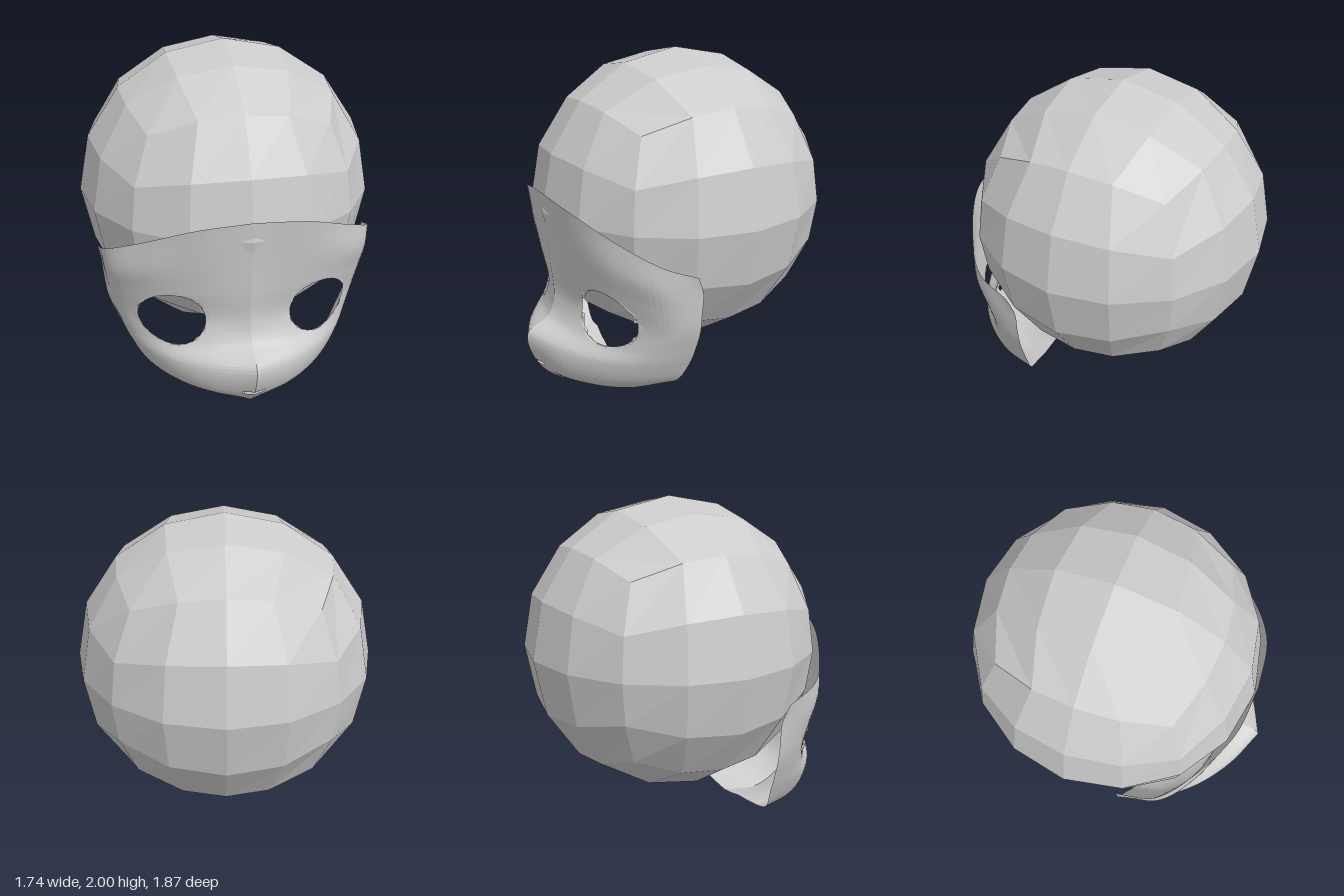
import * as THREE from 'three';

const bone = new THREE.MeshStandardMaterial({ color: 0xcccccc, flatShading: true, side: THREE.DoubleSide });
bone.name = 'bone grey';

// Cranium: a cube of 4 x 4 panels per face, rounded to a ball
function buildCranium() {
  const geo = new THREE.BoxGeometry(2, 2, 2, 4, 4, 4);
  const pos = geo.attributes.position;
  const p = new THREE.Vector3();
  const bend = t => Math.tan(t * Math.PI / 4);
  for (let i = 0; i < pos.count; i++) {
    p.fromBufferAttribute(pos, i);
    p.set(bend(p.x), bend(p.y), bend(p.z)).setLength(0.87);
    pos.setXYZ(i, p.x, p.y, p.z);
  }
  const flat = geo.toNonIndexed();
  flat.computeVertexNormals();
  return flat;
}

// Face mask: midline [y, z] from the forehead over the muzzle and under the chin
const midline = [[1.25, 0.81], [1.0, 0.785], [0.8, 0.77], [0.6, 0.76], [0.49, 0.8],
  [0.4, 0.935], [0.2, 0.885], [0.06, 0.75], [0, 0.6], [0.03, 0.355]];

// Each section runs outward from the midline to the rear rim, as [x, y, z]
const sections = [
  [[0.30, 1.215, 0.775], [0.57, 1.10, 0.635], [0.76, 0.99, 0.46], [0.80, 0.905, 0.26]],
  [[0.29, 0.99, 0.745], [0.56, 0.93, 0.64], [0.75, 0.86, 0.47], [0.785, 0.80, 0.22]],
  [[0.28, 0.80, 0.715], [0.54, 0.77, 0.61], [0.73, 0.72, 0.44], [0.775, 0.68, 0.22]],
  [[0.25, 0.60, 0.69], [0.50, 0.59, 0.59], [0.70, 0.57, 0.42], [0.76, 0.56, 0.22]],
  [[0.25, 0.47, 0.73], [0.49, 0.45, 0.61], [0.66, 0.45, 0.44], [0.725, 0.45, 0.225]],
  [[0.25, 0.37, 0.82], [0.47, 0.35, 0.66], [0.62, 0.34, 0.46], [0.675, 0.33, 0.235]],
  [[0.22, 0.195, 0.80], [0.41, 0.195, 0.65], [0.54, 0.20, 0.47], [0.59, 0.19, 0.27]],
  [[0.17, 0.09, 0.68], [0.31, 0.10, 0.58], [0.41, 0.11, 0.46], [0.46, 0.13, 0.30]],
  [[0.13, 0.04, 0.55], [0.24, 0.075, 0.48], [0.34, 0.10, 0.41], [0.42, 0.125, 0.30]],
  [[0.10, 0.05, 0.345], [0.20, 0.08, 0.33], [0.30, 0.10, 0.315], [0.38, 0.12, 0.30]]
];

const ROWS = 72, COLS = 28;
const MOUTH_ROW = 47, MOUTH_HALF = 0.09;
const eye = { x: 0.425, y: 0.605, rx: 0.182, ry: 0.163 };
const eyeRadius = p => Math.hypot((p.x - eye.x) / eye.rx, (p.y - eye.y) / eye.ry);

function buildMask() {
  // Smooth curves down each column, then across each row
  const columns = [0, 1, 2, 3, 4].map(c => new THREE.CatmullRomCurve3(sections.map((s, r) =>
    c === 0 ? new THREE.Vector3(0, ...midline[r]) : new THREE.Vector3(...s[c - 1]))));
  const grid = [];
  for (let i = 0; i <= ROWS; i++) {
    const across = new THREE.CatmullRomCurve3(columns.map(c => c.getPoint(i / ROWS)));
    grid.push(across.getPoints(COLS));
  }

  const inEye = grid.map(row => row.map(p => eyeRadius(p) < 1));
  // Draw the grid points around each opening out to a clean oval
  const snapped = grid.map((row, i) => row.map((p, j) => {
    if (!inEye[i][j]) return p;
    const r = Math.max(eyeRadius(p), 0.01);
    return new THREE.Vector3(eye.x + (p.x - eye.x) / r, eye.y + (p.y - eye.y) / r, p.z);
  }));

  const out = [];
  const triangle = (a, b, c) => {
    out.push(a.x, a.y, a.z, b.x, b.y, b.z, c.x, c.y, c.z);
    out.push(-a.x, a.y, a.z, -c.x, c.y, c.z, -b.x, b.y, b.z);
  };
  for (let i = 0; i < ROWS; i++) {
    for (let j = 0; j < COLS; j++) {
      const hole = inEye[i][j] && inEye[i + 1][j] && inEye[i][j + 1] && inEye[i + 1][j + 1];
      const mouth = i === MOUTH_ROW && grid[i][j + 1].x < MOUTH_HALF;
      if (hole || mouth) continue;
      const a = snapped[i][j], b = snapped[i + 1][j];
      const c = snapped[i + 1][j + 1], d = snapped[i][j + 1];
      triangle(a, b, c);
      triangle(a, c, d);
    }
  }
  const geo = new THREE.BufferGeometry();
  geo.setAttribute('position', new THREE.Float32BufferAttribute(out, 3));
  geo.computeVertexNormals();
  return geo;
}

export function createModel() {
  const model = new THREE.Group();
  model.name = 'maskedHead';

  const cranium = new THREE.Mesh(buildCranium(), bone);
  cranium.name = 'cranium';
  cranium.position.set(0, 1.13, -0.065);
  model.add(cranium);

  const mask = new THREE.Mesh(buildMask(), bone);
  mask.name = 'faceMask';
  model.add(mask);

  return model;
}
